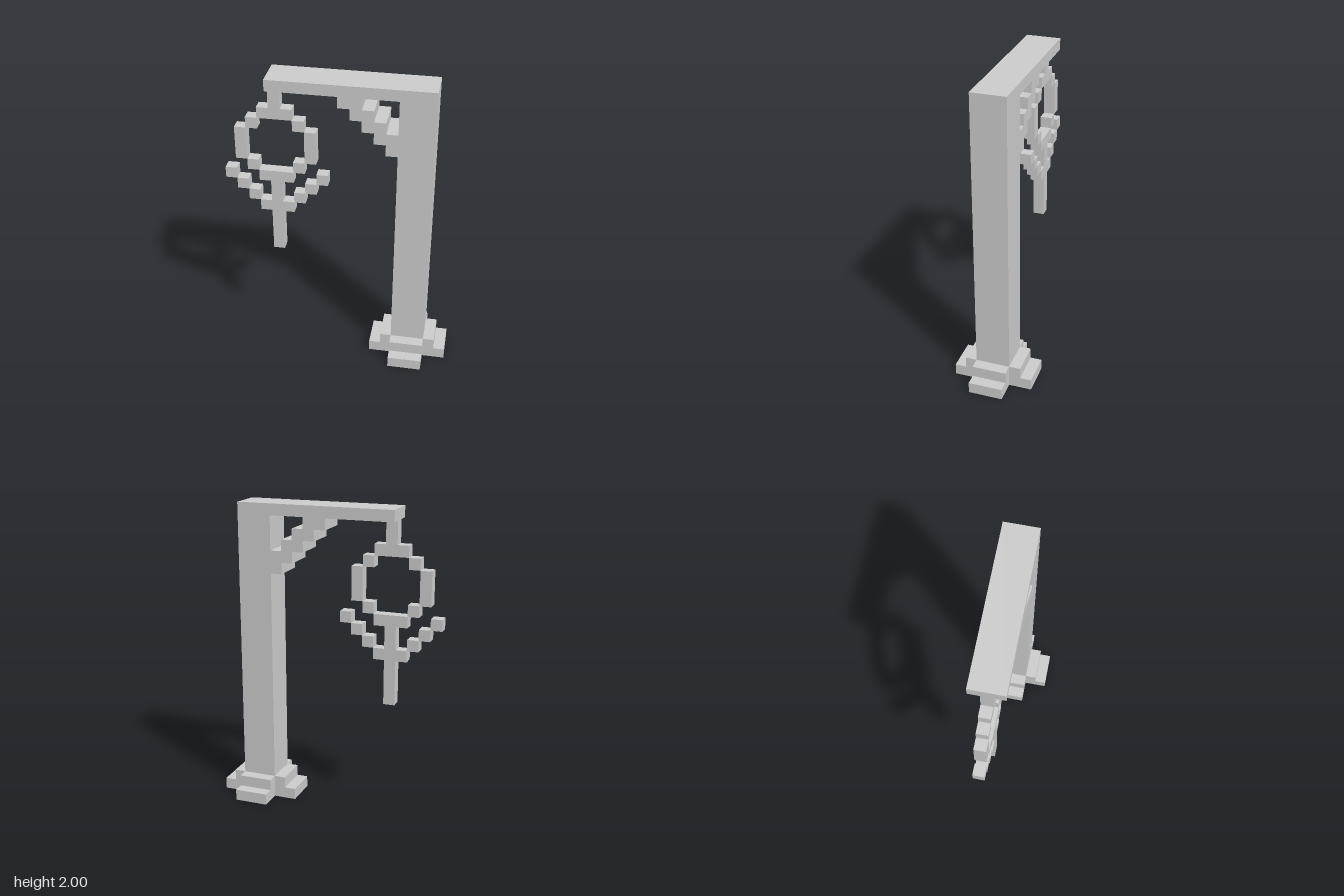
import * as THREE from 'three';

const U = 2 / 27; // one block; all sizes below are in blocks
const material = new THREE.MeshStandardMaterial({ color: 0xcccccc, flatShading: true });

// Block from x0..x1 and y0..y1, centred on z with the given depth
function block(parent, name, x0, x1, y0, y1, depth) {
  const mesh = new THREE.Mesh(new THREE.BoxGeometry((x1 - x0) * U, (y1 - y0) * U, depth * U), material);
  mesh.position.set((x0 + x1) / 2 * U, (y0 + y1) / 2 * U, 0);
  mesh.name = name;
  parent.add(mesh);
}

function group(parent, name) {
  const g = new THREE.Group();
  g.name = name;
  parent.add(g);
  return g;
}

export function createModel() {
  const model = new THREE.Group();
  model.name = 'hangingPost';

  // Post and overhanging arm
  block(model, 'post', 5, 8, 0, 26, 3);
  block(model, 'arm', -6, 8, 26, 27, 3);

  // Cross-shaped stepped foot: two tiers stepping out on all four sides
  const foot = group(model, 'foot');
  [2, 1].forEach((reach, tier) => {
    block(foot, 'footSideStep', 5 - reach, 5, tier, tier + 1, 3);
    block(foot, 'footSideStep', 8, 8 + reach, tier, tier + 1, 3);
    block(foot, 'footFrontBackStep', 5, 8, tier, tier + 1, 3 + 2 * reach);
  });

  // Stepped diagonal brace
  const brace = group(model, 'brace');
  for (let i = 0; i < 5; i++) block(brace, 'braceStep', i, Math.min(i + 2, 5), 25 - i, 26 - i, 3);

  // Hanging ornament, mirrored about its own centre line
  const ornament = group(model, 'hangingOrnament');
  ornament.position.x = -5.5 * U;
  const pair = (name, x0, x1, y0, y1) => {
    block(ornament, name, x0, x1, y0, y1, 1);
    block(ornament, name, -x1, -x0, y0, y1, 1);
  };
  block(ornament, 'hanger', -0.5, 0.5, 24, 26, 1);
  block(ornament, 'ringTop', -1.5, 1.5, 23, 24, 1);
  pair('ringCorner', 1.5, 2.5, 22, 23);
  pair('ringSide', 2.5, 3.5, 19, 22);
  pair('ringCorner', 1.5, 2.5, 18, 19);
  block(ornament, 'ringBottom', -1.5, 1.5, 17, 18, 1);
  block(ornament, 'stem', -0.5, 0.5, 10, 17, 1);

  // Upswept side arms
  for (let i = 0; i < 4; i++) pair('sideArmStep', 0.5 + i, 1.5 + i, 14 + i, 15 + i);

  return model;
}
